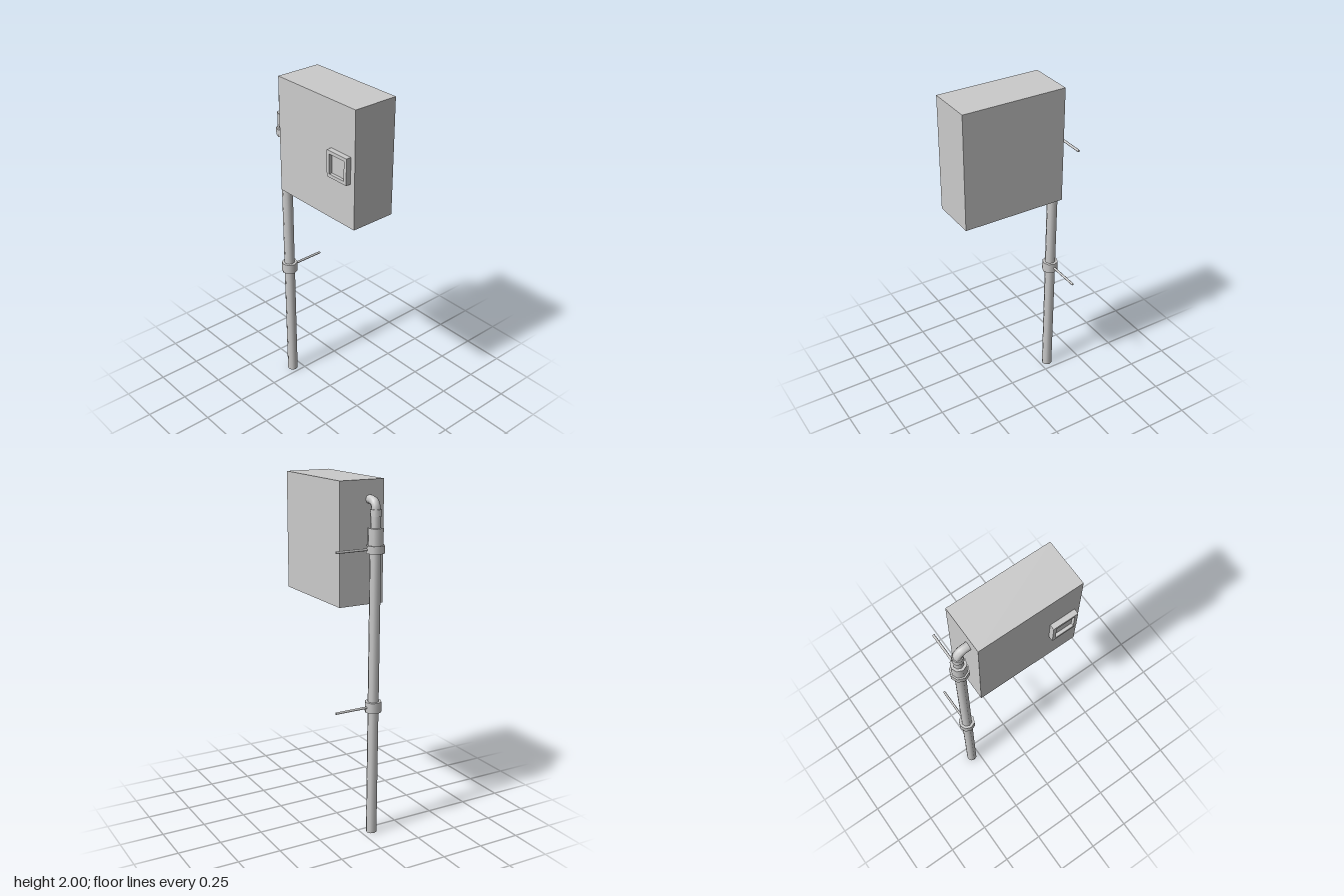
import * as THREE from 'three';

export function createModel() {
  const model = new THREE.Group();
  const material = new THREE.MeshStandardMaterial({ color: 0xcccccc });
  const Z = 0.06; // depth of the pipe axis

  const add = (name, geometry, x = 0, y = 0, z = 0) => {
    const mesh = new THREE.Mesh(geometry, material);
    mesh.name = name;
    mesh.position.set(x, y, z);
    model.add(mesh);
    return mesh;
  };

  // The conduit leans slightly outwards as it rises
  const axisX = (y) => -0.298 - 0.0058 * y;
  const section = (name, y0, y1, r0, r1 = r0) => {
    const g = new THREE.CylinderGeometry(r1, r0, y1 - y0, 8);
    const p = g.attributes.position;
    const mid = (y0 + y1) / 2;
    for (let i = 0; i < p.count; i++) p.setX(i, p.getX(i) + axisX(p.getY(i) + mid));
    add(name, g, 0, mid, Z);
  };

  // Cabinet
  add('cabinet', new THREE.BoxGeometry(0.605, 0.667, 0.268), 0.0575, 1.6665, 0.013);

  // Square latch frame with a recessed plate
  const square = (shape, h) =>
    shape.moveTo(-h, -h).lineTo(h, -h).lineTo(h, h).lineTo(-h, h).closePath();
  const frame = square(new THREE.Shape(), 0.075);
  frame.holes.push(square(new THREE.Path(), 0.056));
  add('latchFrame', new THREE.ExtrudeGeometry(frame, { depth: 0.03, bevelEnabled: false }), 0.255, 1.664, 0.147);
  add('latchPlate', new THREE.BoxGeometry(0.114, 0.114, 0.012), 0.255, 1.664, 0.153);

  // Conduit, clamps and coupling
  section('conduit', 0, 1.64, 0.031);
  section('lowerClamp', 0.735, 0.795, 0.047);
  section('upperClamp', 1.622, 1.664, 0.052);
  section('coupling', 1.664, 1.755, 0.043);
  section('neck', 1.75, 1.83, 0.028);
  section('elbowSocket', 1.815, 1.852, 0.033, 0.031);

  // Elbow into the cabinet side
  const x = axisX(1.85);
  const bend = new THREE.CurvePath();
  bend.add(new THREE.QuadraticBezierCurve3(
    new THREE.Vector3(x, 1.845, Z), new THREE.Vector3(x, 1.897, Z), new THREE.Vector3(-0.258, 1.897, Z)));
  bend.add(new THREE.LineCurve3(new THREE.Vector3(-0.258, 1.897, Z), new THREE.Vector3(-0.23, 1.897, Z)));
  add('elbow', new THREE.TubeGeometry(bend, 8, 0.025, 8));

  // Wall rods behind the clamps
  for (const [name, y] of [['lowerRod', 0.765], ['upperRod', 1.644]]) {
    const rod = new THREE.CylinderGeometry(0.007, 0.007, 0.2, 8).rotateX(Math.PI / 2);
    add(name, rod, -0.305, y, -0.077);
  }

  return model;
}
